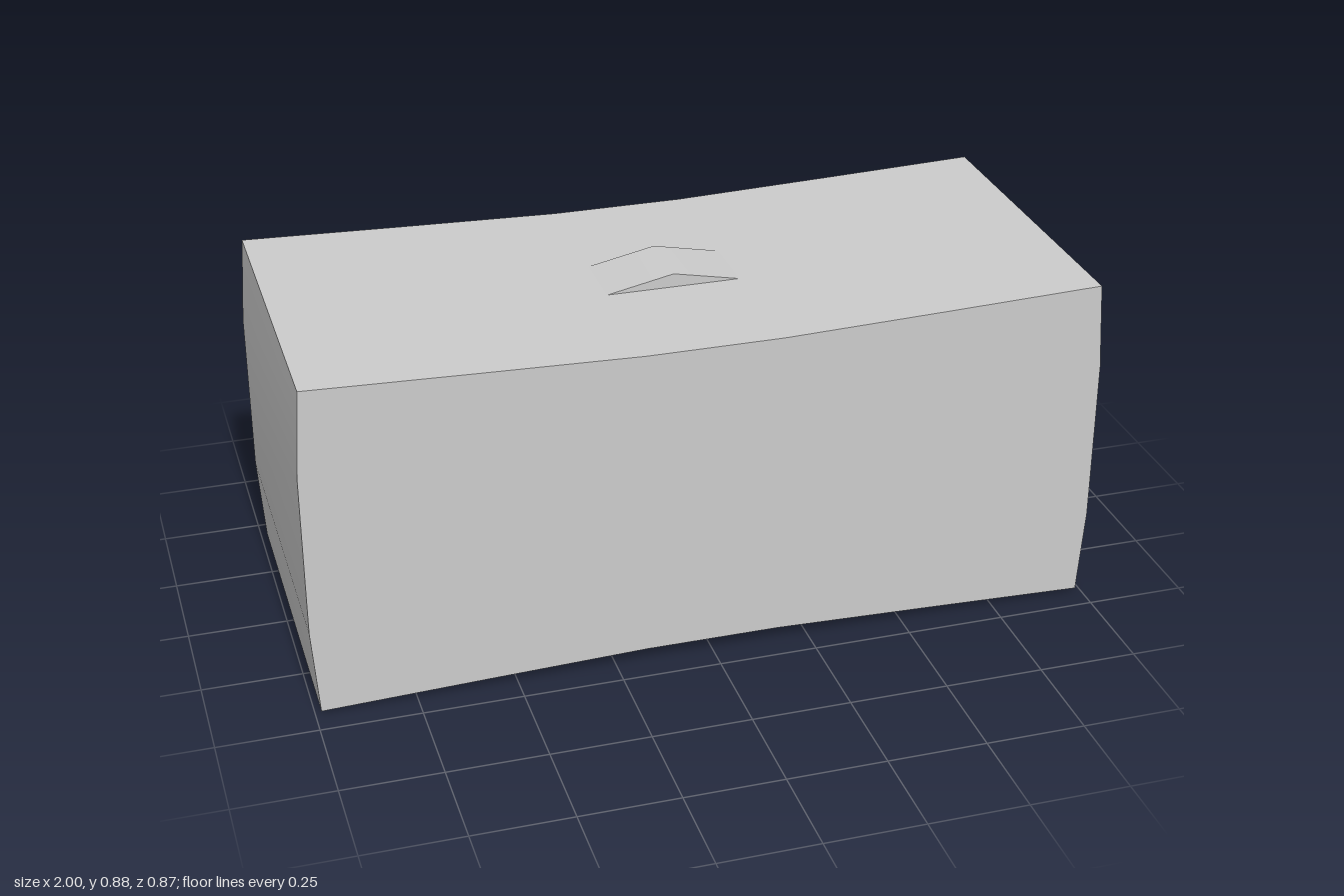
import * as THREE from 'three';
import { toCreasedNormals } from 'three/addons/utils/BufferGeometryUtils.js';

const MID = 0.44; // height of the horizontal mirror plane

// Prism along z from a closed outline, with gentle bends shaded smooth
function prism(name, points, depth) {
  const shape = new THREE.Shape(points.map(([x, y]) => new THREE.Vector2(x, y)));
  const extruded = new THREE.ExtrudeGeometry(shape, { depth, bevelEnabled: false });
  extruded.translate(0, 0, -depth / 2);
  const mesh = new THREE.Mesh(
    toCreasedNormals(extruded, Math.PI / 6),
    new THREE.MeshStandardMaterial({ color: 0xcccccc })
  );
  mesh.name = name;
  return mesh;
}

export function createModel() {
  const group = new THREE.Group();
  group.name = 'hammerHead';

  // Block: waisted top and bottom, slightly bulging ends
  const quarter = [[1, 0.21], [0.985, 0.432], [0.58, 0.418], [0.17, 0.405]];
  const right = [...quarter.map(([x, y]) => [x, -y]).reverse(), ...quarter];
  const left = right.map(([x, y]) => [-x, y]).reverse();
  const block = prism('block', [...right, ...left], 0.87);
  block.position.y = MID;
  group.add(block);

  // Low peaked wedges in the middle of the top and the bottom
  const peak = [[-0.17, 0.39], [0.17, 0.39], [0.17, 0.405], [0, 0.44], [-0.17, 0.405]];
  for (const [name, turn] of [['topWedge', 0], ['bottomWedge', Math.PI]]) {
    const wedge = prism(name, peak, 0.175);
    wedge.rotation.z = turn;
    wedge.position.y = MID;
    group.add(wedge);
  }
  return group;
}
